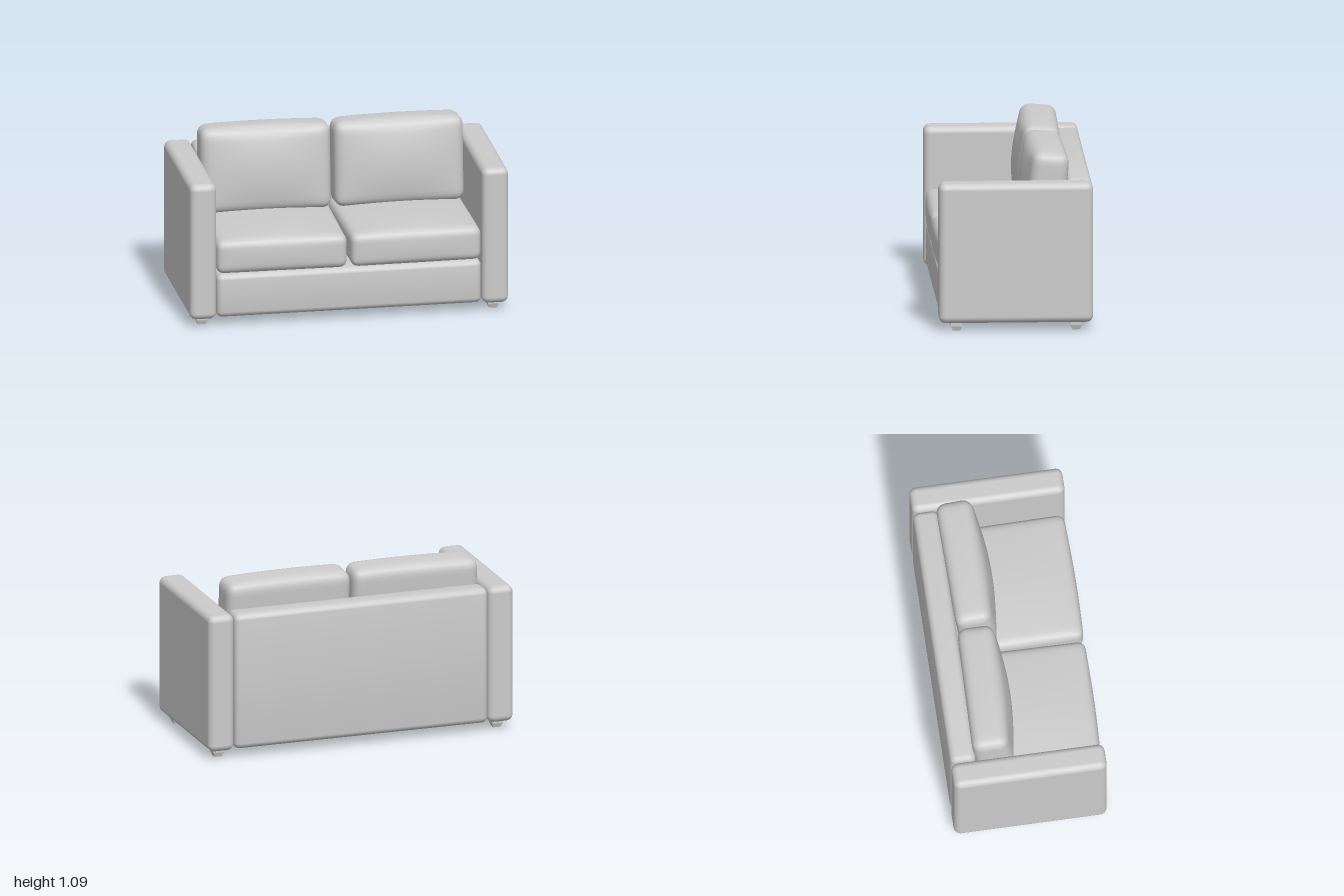
import * as THREE from 'three';
import { mergeVertices, toCreasedNormals } from 'three/addons/utils/BufferGeometryUtils.js';
import { RoundedBoxGeometry } from 'three/addons/geometries/RoundedBoxGeometry.js';

const material = new THREE.MeshStandardMaterial({ color: 0xcccccc });

function addMesh(parent, name, geometry, x = 0, y = 0, z = 0) {
  const mesh = new THREE.Mesh(geometry, material);
  mesh.name = name;
  mesh.position.set(x, y, z);
  parent.add(mesh);
  return mesh;
}

// Soft rounded block; puffY lifts the top and puffZ swells the front
function cushionGeometry(w, h, d, r, puffY, puffZ) {
  const geo = new THREE.BoxGeometry(2, 2, 2, 24, 20, 20);
  geo.deleteAttribute('uv');
  geo.deleteAttribute('normal');
  const pos = geo.attributes.position;
  const inner = new THREE.Vector3(w / 2 - r, h / 2 - r, d / 2 - r);
  const p = new THREE.Vector3(), core = new THREE.Vector3();
  const dense = (t) => Math.sin(t * Math.PI / 2); // closer rows near the edges
  for (let i = 0; i < pos.count; i++) {
    p.set(dense(pos.getX(i)) * w / 2, dense(pos.getY(i)) * h / 2, dense(pos.getZ(i)) * d / 2);
    core.copy(p).clamp(inner.clone().negate(), inner);
    p.sub(core).setLength(r).add(core);
    const u = 2 * p.x / w, v = 2 * p.y / h, t = 2 * p.z / d;
    p.y += puffY * (1 - u * u) * (1 - 0.6 * t * t) * Math.max(0, v);
    p.z += puffZ * (1 - u * u) * (1 - v * v) * Math.max(0, t);
    pos.setXYZ(i, p.x, p.y, p.z);
  }
  const smooth = mergeVertices(geo);
  smooth.computeVertexNormals();
  return smooth;
}

// L-shaped side profile of base and back, extruded across the width
function frameGeometry(width) {
  const r = 0.042, back = -0.485, inside = -0.325, front = 0.458;
  const bottom = 0.055, seat = 0.335, top = 0.925;
  const s = new THREE.Shape();
  s.moveTo(back + r, bottom);
  s.lineTo(front - r, bottom);
  s.absarc(front - r, bottom + r, r, -Math.PI / 2, 0);
  s.lineTo(front, seat - r);
  s.absarc(front - r, seat - r, r, 0, Math.PI / 2);
  s.lineTo(inside, seat);
  s.lineTo(inside, top - r);
  s.absarc(inside - r, top - r, r, 0, Math.PI / 2);
  s.lineTo(back + r, top);
  s.absarc(back + r, top - r, r, Math.PI / 2, Math.PI);
  s.lineTo(back, bottom + r);
  s.absarc(back + r, bottom + r, r, Math.PI, Math.PI * 1.5);
  const bevel = 0.035;
  const geo = new THREE.ExtrudeGeometry(s, {
    depth: width - 2 * bevel, curveSegments: 5, bevelEnabled: true,
    bevelThickness: bevel, bevelSize: bevel, bevelOffset: -bevel, bevelSegments: 4,
  });
  geo.translate(0, 0, bevel - width / 2);
  geo.rotateY(-Math.PI / 2);
  return toCreasedNormals(geo, 0.7);
}

// Short square foot: straight collar above a tapered tip
function legGeometry() {
  const profile = [[0, 0], [0.034, 0], [0.034, 0], [0.048, 0.028], [0.048, 0.07]]
    .map(([x, y]) => new THREE.Vector2(x, y));
  const geo = new THREE.LatheGeometry(profile, 4, Math.PI / 4);
  return toCreasedNormals(geo, 0.3);
}

export function createModel() {
  const sofa = new THREE.Group();
  sofa.name = 'sofa';

  addMesh(sofa, 'baseAndBack', frameGeometry(1.66));

  const arm = new RoundedBoxGeometry(0.166, 0.878, 0.955, 3, 0.042);
  const seat = cushionGeometry(0.82, 0.215, 0.79, 0.05, 0.024, 0.012);
  const backrest = cushionGeometry(0.815, 0.54, 0.225, 0.06, 0.012, 0.045);
  const leg = legGeometry();

  for (const side of [1, -1]) {
    const label = side > 0 ? 'left' : 'right';
    addMesh(sofa, label + 'Arm', arm, side * 0.917, 0.49, -0.0075);

    const seatMesh = addMesh(sofa, label + 'SeatCushion', seat, side * 0.417, 0.442, 0.068);
    seatMesh.rotation.y = side * 0.012;

    // Back cushions lean back and turn slightly towards the middle
    const backMesh = addMesh(sofa, label + 'BackCushion', backrest, side * 0.417, 0.81, -0.208);
    backMesh.rotation.set(-0.08, side * 0.02, 0);

    for (const [end, z] of [['Front', 0.36], ['Back', -0.38]]) {
      addMesh(sofa, label + end + 'Leg', leg, side * 0.915, 0, z);
    }
  }
  return sofa;
}
